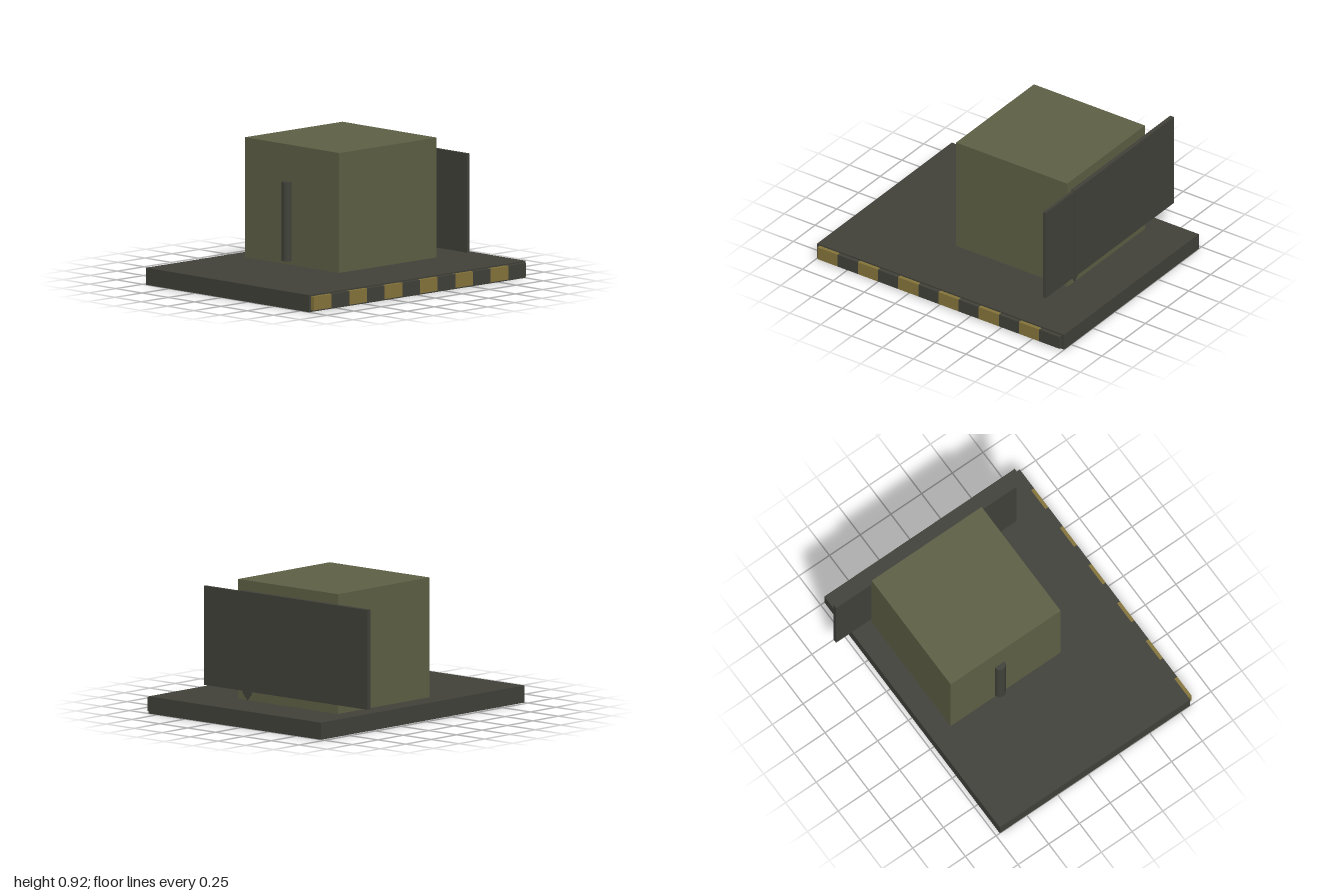
import * as THREE from 'three';

const paint = (name, color) => {
  const m = new THREE.MeshStandardMaterial({ color });
  m.name = name;
  return m;
};

export function createModel() {
  const model = new THREE.Group();
  const dark = paint('charcoal', 0x41413a);
  const olive = paint('olive', 0x5d5f44);
  const yellow = paint('hazard yellow', 0x84733a);

  const add = (name, geometry, material, parent = model) => {
    const mesh = new THREE.Mesh(geometry, material);
    mesh.name = name;
    parent.add(mesh);
    return mesh;
  };
  // Box given by its low and high corner
  const box = (name, material, x0, x1, y0, y1, z0, z1, parent) =>
    add(name, new THREE.BoxGeometry(x1 - x0, y1 - y0, z1 - z0), material, parent)
      .position.set((x0 + x1) / 2, (y0 + y1) / 2, (z0 + z1) / 2);

  // Ground slab and the block standing on it
  box('platform', dark, -1, 1, 0, 0.115, -0.72, 0.83);
  box('block', olive, -0.23, 0.67, 0.115, 0.92, -0.57, 0.325);

  // Alternating stripes along the front edge
  const stripes = new THREE.Group();
  stripes.name = 'frontStripes';
  model.add(stripes);
  const w = 1.96 / 12;
  for (let i = 0; i < 12; i++) {
    const x = -0.98 + i * w;
    box('stripe', i % 2 ? dark : yellow, x, x + w, 0.013, 0.105, 0.83, 0.856, stripes);
  }

  // Long side panel with its slightly thinner front leaf
  box('sidePanel', dark, 0.67, 0.70, 0.18, 0.85, -0.86, 0.28);
  box('sidePanelLeaf', dark, 0.674, 0.696, 0.18, 0.845, 0.28, 0.61);

  // Pointed bracket below the panel, flat against the block
  const tip = new THREE.Shape([[-0.28, 0.19], [-0.28, 0.16], [-0.24, 0.116], [-0.2, 0.16], [-0.2, 0.19]]
    .map(([x, y]) => new THREE.Vector2(x, y)));
  const bracket = add('panelBracket', new THREE.ExtrudeGeometry(tip, { depth: 0.006, bevelEnabled: false }), dark);
  bracket.rotation.y = Math.PI / 2;
  bracket.position.x = 0.669;

  // Upright bar half sunk into the other side
  const bar = add('sideBar', new THREE.CylinderGeometry(0.04, 0.04, 0.53, 12), dark);
  bar.position.set(-0.23, 0.405, -0.17);

  return model;
}
